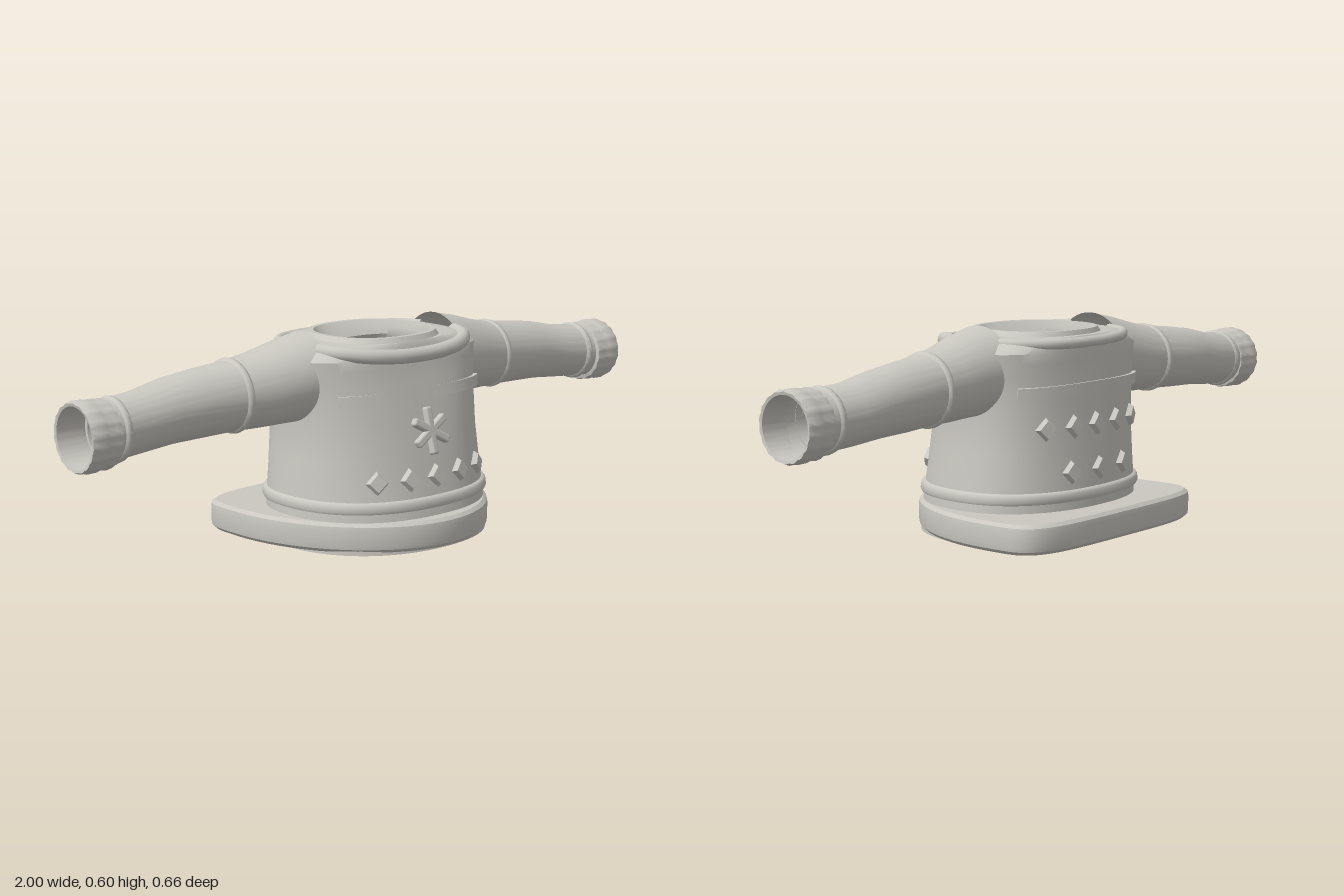
import * as THREE from 'three';
import { toCreasedNormals } from 'three/addons/utils/BufferGeometryUtils.js';
import { RoundedBoxGeometry } from 'three/addons/geometries/RoundedBoxGeometry.js';

const SEG = 72;
const cloth = new THREE.MeshStandardMaterial({ color: 0xc9c7c0, side: THREE.DoubleSide });
cloth.name = 'pale grey cloth';

// Skin a list of closed loops of points
function loft(loops, crease = 0.6) {
  const n = loops[0].length, pos = [], idx = [];
  loops.forEach(l => l.forEach(p => pos.push(...p)));
  for (let i = 0; i < loops.length - 1; i++) {
    for (let j = 0; j < n; j++) {
      const k = (j + 1) % n, a = i * n + j, b = i * n + k;
      idx.push(a, b, b + n, a, b + n, a + n);
    }
  }
  const g = new THREE.BufferGeometry();
  g.setAttribute('position', new THREE.Float32BufferAttribute(pos, 3));
  g.setIndex(idx);
  return toCreasedNormals(g, crease);
}

// Rounded outline with its own depth and squareness in front and back
function outline(y, a, zf, zb, nf, nb = nf, zc = 0) {
  return Array.from({ length: SEG }, (_, j) => {
    const t = j / SEG * Math.PI * 2, s = Math.sin(t), c = Math.cos(t);
    const n = c > 0 ? nf : nb, depth = c > 0 ? zf - zc : zc - zb;
    return [a * Math.sign(s) * Math.abs(s) ** (2 / n), y,
      zc + depth * Math.sign(c) * Math.abs(c) ** (2 / n)];
  });
}

// Body rows: height, half width, front z, back z, squareness
const ROWS = [
  [0, 0.33, 0.308, -0.246, 2.2], [0.11, 0.325, 0.288, -0.242, 2.3],
  [0.2, 0.314, 0.268, -0.235, 2.4], [0.3, 0.303, 0.244, -0.225, 2.6],
  [0.42, 0.305, 0.212, -0.213, 2.9], [0.5, 0.32, 0.19, -0.205, 3],
  [0.53, 0.325, 0.185, -0.203, 3], [0.555, 0.29, 0.18, -0.2, 2.8],
  [0.566, 0.25, 0.174, -0.19, 2.5],
];
function rowAt(y) {
  let i = 0;
  while (i < ROWS.length - 2 && ROWS[i + 1][0] < y) i++;
  const [p, q] = [ROWS[i], ROWS[i + 1]], f = (y - p[0]) / (q[0] - p[0]);
  return p.map((v, k) => v + (q[k] - v) * f);
}
const bodyLoop = (y, off = 0) => {
  const [, a, zf, zb, n] = rowAt(y);
  return outline(y, a + off, zf + off, zb - off, n);
};
// Point on the front (side 1) or back (side -1) of the body
function surf(x, y, side) {
  const [, a, zf, zb, n] = rowAt(y);
  const d = (1 - Math.min(1, Math.abs(x) / a) ** n) ** (1 / n);
  return new THREE.Vector3(x, y, d * (side > 0 ? zf : zb));
}
function normalAt(x, y, side) {
  const e = 0.004;
  const dx = surf(x + e, y, side).sub(surf(x - e, y, side));
  const dy = surf(x, y + e, side).sub(surf(x, y - e, side));
  return dx.cross(dy).multiplyScalar(side).normalize();
}

export function createModel() {
  const model = new THREE.Group();
  model.name = 'garment';
  const add = (name, geo, parent = model) => {
    const m = new THREE.Mesh(geo, cloth);
    m.name = name;
    parent.add(m);
    return m;
  };
  const place = (obj, x, y, side) => {
    obj.position.copy(surf(x, y, side));
    obj.lookAt(obj.position.clone().add(normalAt(x, y, side)));
  };

  // Torso, running up over the yoke
  add('body', loft([
    ...[0, 0.06, 0.11, 0.155, 0.2, 0.25, 0.3, 0.36, 0.42, 0.46, 0.5, 0.53, 0.555, 0.566].map(y => bodyLoop(y)),
    outline(0.566, 0.19, 0.174, -0.174, 2.3),
  ]));

  // Neck rim and the lip inside it
  add('neckRim', loft([
    outline(0.562, 0.192, 0.175, -0.175, 2.3), outline(0.58, 0.178, 0.165, -0.168, 2.3),
    outline(0.58, 0.165, 0.15, -0.153, 2.3), outline(0.558, 0.157, 0.125, -0.127, 2.6),
    outline(0.54, 0.155, 0.108, -0.112, 2.9), outline(0.525, 0.16, 0.115, -0.118, 2.9),
  ]));

  // Wide hem, round in front and square behind
  const hem = (y, d) => outline(y, 0.395 - d, 0.334 - d, -0.331 + d, 2, 4.4, -0.15);
  add('hem', loft([
    bodyLoop(0.008), hem(0.008, 0.012), hem(0.018, 0.002), hem(0.03, 0),
    hem(0.07, 0), hem(0.082, 0.002), hem(0.091, 0.012), bodyLoop(0.091),
  ]));

  // Waist bead
  add('waistBead', loft([
    [0.113, -0.004], [0.115, 0.007], [0.122, 0.011], [0.138, 0.011], [0.145, 0.007], [0.147, -0.004],
  ].map(([y, o]) => bodyLoop(y, o)), 0.9));

  // Collar rolls and chest bands, front and back
  for (const side of [1, -1]) {
    const label = side > 0 ? 'front' : 'back';
    const mid = side > 0 ? 0.533 : 0.55, reach = side > 0 ? 0.207 : 0.209;
    const pts = [-1, -0.9, -0.65, -0.33, 0, 0.33, 0.65, 0.9, 1].map(u => new THREE.Vector3(
      0.262 * u, mid + (0.555 - mid) * u * u, side * (0.07 + (reach - 0.07) * (1 - Math.abs(u) ** 2.8) ** 0.6)));
    add(label + 'Collar', new THREE.TubeGeometry(
      new THREE.CatmullRomCurve3(pts), 64, side > 0 ? 0.021 : 0.015, 12));

    const loops = [];
    for (let i = 0; i <= 32; i++) {
      const x = side * (-0.26 + 0.52 * i / 32);
      const corner = (y, o) => surf(x, y, side).addScaledVector(normalAt(x, y, side), o).toArray();
      const ring = [corner(0.438, -0.006), corner(0.438, 0.012), corner(0.407, 0.012), corner(0.407, -0.006)];
      const cap = ring.map(() => corner(0.4225, 0.003));
      if (i === 0) loops.push(cap);
      loops.push(ring);
      if (i === 32) loops.push(cap);
    }
    add(label + 'ChestBand', loft(loops));
  }

  // Pillow-shaped diamonds
  const profile = [[0, -0.012], [0.027, -0.012], [0.034, 0], [0.025, 0.014], [0, 0.014]];
  const diamond = new THREE.LatheGeometry(profile.map(p => new THREE.Vector2(...p)), 4)
    .rotateX(Math.PI / 2).toNonIndexed();
  diamond.computeVertexNormals();
  const rows = [
    [1, 0.198, [-0.19, -0.095, 0, 0.095, 0.19]],
    [-1, 0.32, [-0.19, -0.095, 0, 0.095, 0.19]],
    [-1, 0.195, [-0.115, 0, 0.115]],
  ];
  for (const [side, y, xs] of rows)
    for (const x of xs) place(add('diamond', diamond), x, y, side);

  // Six-armed chest star
  const star = new THREE.Group();
  star.name = 'chestStar';
  model.add(star);
  for (let i = 0; i < 3; i++)
    add('starArm', new RoundedBoxGeometry(0.024, 0.135, 0.032, 2, 0.007), star).rotation.z = i * Math.PI / 3;
  place(star, 0, 0.32, 1);

  // Sleeve rows: x, centre y, centre z, radius
  const SLEEVE = [
    [0.253, 0.476, -0.007, 0.124], [0.29, 0.472, -0.008, 0.12], [0.33, 0.468, -0.01, 0.116],
    [0.42, 0.455, -0.019, 0.105], [0.5, 0.447, -0.027, 0.097], [0.6, 0.44, -0.035, 0.094],
    [0.7, 0.432, -0.038, 0.089], [0.8, 0.417, -0.036, 0.083], [0.92, 0.408, -0.026, 0.082],
  ];
  const CUFF = [[0.905, 0.08], [0.908, 0.09], [0.925, 0.093], [0.945, 0.091], [0.955, 0.094],
    [0.985, 0.095], [1, 0.09], [0.998, 0.082], [0.92, 0.078]];
  for (const s of [1, -1]) {
    const arm = new THREE.Group();
    arm.name = s > 0 ? 'leftSleeve' : 'rightSleeve';
    model.add(arm);
    const ring = (x, y, z, r, wave = 0) => Array.from({ length: SEG }, (_, j) => {
      const t = j / SEG * Math.PI * 2, q = r + wave * Math.cos(18 * t);
      return [s * x, y + q * Math.cos(t), z + s * q * Math.sin(t)];
    });
    add('sleeve', loft(SLEEVE.map(p => ring(...p)), 0.8), arm);
    add('cuff', loft(CUFF.map(([x, r]) => ring(x, 0.405, -0.022, r, r > 0.085 ? 0.0015 : 0)), 0.7), arm);
    // Raised seams at the elbow and wrist
    for (const [x, y, z, r] of [[0.495, 0.447, -0.027, 0.098], [0.88, 0.41, -0.028, 0.083]])
      add('sleeveSeam', loft([[-0.012, -0.003], [-0.008, 0.004], [0, 0.006], [0.008, 0.004], [0.012, -0.003]]
        .map(([dx, dr]) => ring(x + dx, y, z, r + dr)), 0.9), arm);
  }
  return model;
}
